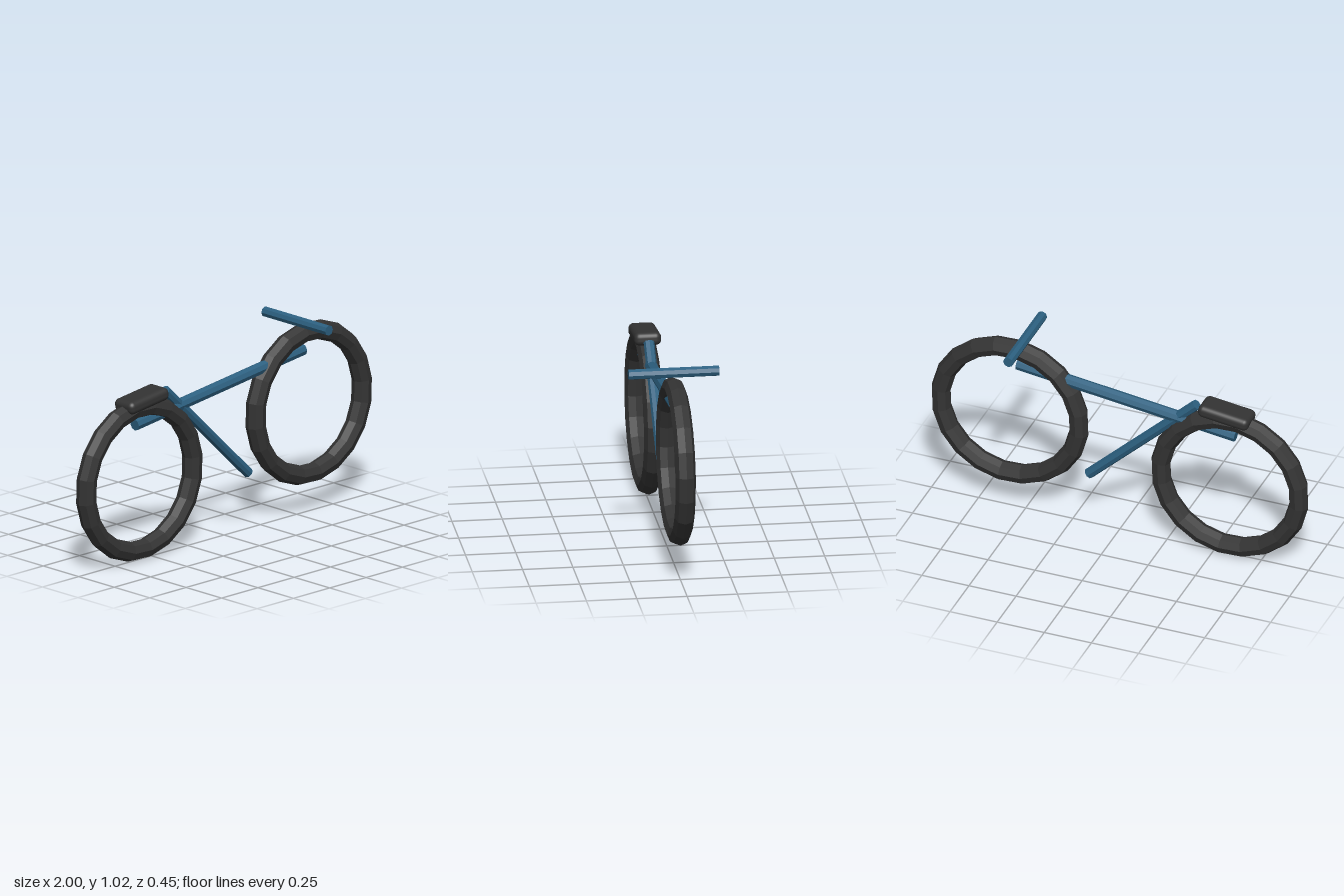
import * as THREE from 'three';
import { RoundedBoxGeometry } from 'three/addons/geometries/RoundedBoxGeometry.js';

export function createModel() {
  const bike = new THREE.Group();
  bike.name = 'bicycle';
  const tilt = THREE.MathUtils.degToRad(7); // the whole bicycle pitches nose-up

  const rubber = new THREE.MeshStandardMaterial({ color: 0x333333, flatShading: true });
  const padding = new THREE.MeshStandardMaterial({ color: 0x333333 });
  const paint = new THREE.MeshStandardMaterial({ color: 0x2c6080, flatShading: true });

  function add(name, geometry, material) {
    const mesh = new THREE.Mesh(geometry, material);
    mesh.name = name;
    bike.add(mesh);
    return mesh;
  }

  // Eight-sided bar between two points
  function bar(name, from, to, radius) {
    const a = new THREE.Vector3(...from);
    const b = new THREE.Vector3(...to);
    const mesh = add(name, new THREE.CylinderGeometry(radius, radius, a.distanceTo(b), 8), paint);
    mesh.position.copy(a).lerp(b, 0.5);
    mesh.quaternion.setFromUnitVectors(new THREE.Vector3(0, 1, 0), b.sub(a).normalize());
  }

  // Wheels
  const tyre = new THREE.TorusGeometry(0.368, 0.05, 8, 20);
  for (const [name, x, y] of [['rearWheel', -0.583, 0.421], ['frontWheel', 0.583, 0.565]]) {
    const wheel = add(name, tyre, rubber);
    wheel.position.set(x, y, 0);
    wheel.rotation.z = tilt;
  }

  // Frame and handlebar
  bar('topTube', [-0.615, 0.705, 0], [0.543, 0.847, 0], 0.031);
  bar('seatTube', [-0.407, 0.838, 0], [0.166, 0.291, 0], 0.027);
  bar('handlebar', [0.503, 1.0, -0.225], [0.503, 1.0, 0.225], 0.0265);

  // Saddle
  const saddle = add('saddle', new RoundedBoxGeometry(0.268, 0.066, 0.134, 3, 0.027), padding);
  saddle.position.set(-0.566, 0.826, 0);
  saddle.rotation.z = tilt;

  return bike;
}
